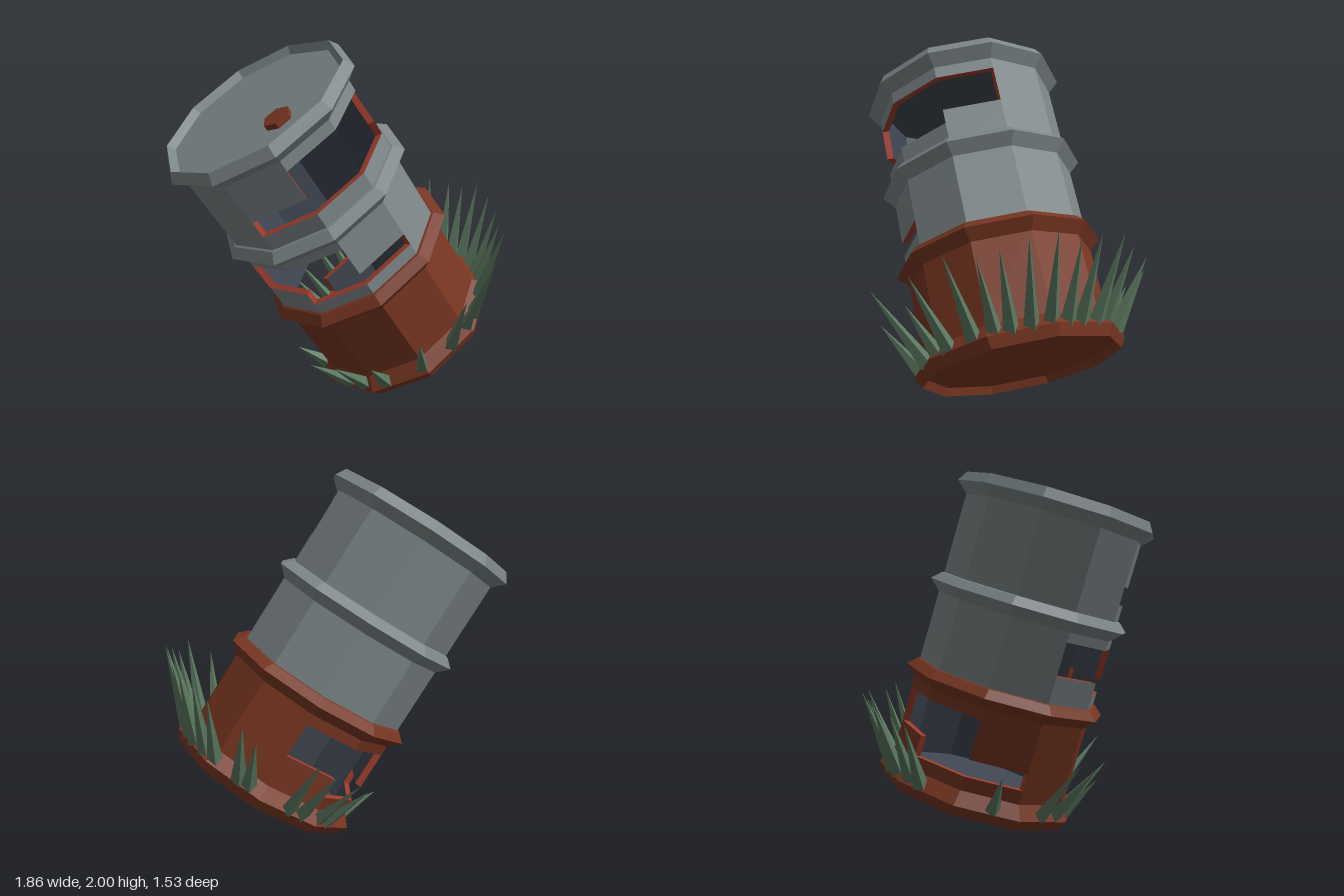
import * as THREE from 'three';

const SIDES = 10, STEP = (Math.PI * 2) / SIDES;
const R_OUT = 0.502, R_IN = 0.465, HEIGHT = 1.697;

function makeMaterial(name, color) {
  const m = new THREE.MeshStandardMaterial({ color });
  m.name = name;
  return m;
}

// Faceted normals
function flat(geometry) {
  const g = geometry.index ? geometry.toNonIndexed() : geometry;
  g.computeVertexNormals();
  return g;
}

// Ten-sided ring from a profile of [radius, height], corners on the x axis
function ring(profile) {
  const pts = profile.map(([r, h]) => new THREE.Vector2(r, h));
  return flat(new THREE.LatheGeometry(pts, SIDES, Math.PI / 2));
}

// Wall band with openings: holes maps a facet number to its open [from, to] heights.
// Groups: 0 outside, 1 inside, 2 cut edges.
function wallBand(h0, h1, holes) {
  const faces = [[], [], []];
  const at = (r, a, h) => [r * Math.cos(a), h, r * Math.sin(a)];
  const quad = (list, a, b, c, d) => list.push(...a, ...b, ...c, ...a, ...c, ...d);
  const block = (facet, lo, hi) => {
    const a = facet * STEP, b = a + STEP;
    const [oal, oah, obl, obh] = [at(R_OUT, a, lo), at(R_OUT, a, hi), at(R_OUT, b, lo), at(R_OUT, b, hi)];
    const [ial, iah, ibl, ibh] = [at(R_IN, a, lo), at(R_IN, a, hi), at(R_IN, b, lo), at(R_IN, b, hi)];
    quad(faces[0], obl, oal, oah, obh);
    quad(faces[1], ial, ibl, ibh, iah);
    quad(faces[2], obh, oah, iah, ibh);
    quad(faces[2], ibl, ial, oal, obl);
    quad(faces[2], ibl, obl, obh, ibh);
    quad(faces[2], oal, ial, iah, oah);
  };
  for (let f = 0; f < SIDES; f++) {
    if (holes[f]) {
      block(f, h0, holes[f][0]);
      block(f, holes[f][1], h1);
    } else block(f, h0, h1);
  }
  const g = new THREE.BufferGeometry();
  g.setAttribute('position', new THREE.Float32BufferAttribute(faces.flat(), 3));
  let start = 0;
  faces.forEach((list, i) => {
    g.addGroup(start, list.length / 3, i);
    start += list.length / 3;
  });
  g.computeVertexNormals();
  return g;
}

export function createModel() {
  const steel = makeMaterial('grey steel', 0x7d8688);
  const rust = makeMaterial('rust', 0x783622);
  const edge = makeMaterial('red torn edge', 0x9c3c2a);
  const inside = makeMaterial('dark interior', 0x3e4550);
  const green = makeMaterial('grass green', 0x5a775e);

  const model = new THREE.Group();
  model.name = 'tiltedBarrel';
  const barrel = new THREE.Group();
  barrel.name = 'barrel';
  barrel.position.set(0.45, 0.296, -0.013);
  barrel.rotation.z = THREE.MathUtils.degToRad(33.9);
  model.add(barrel);

  const add = (name, geometry, material) => {
    const mesh = new THREE.Mesh(geometry, material);
    mesh.name = name;
    barrel.add(mesh);
    return mesh;
  };

  // Walls with stepped openings
  add('lowerWall', wallBand(0.08, 0.61, { 5: [0.2, 0.29], 6: [0.2, 0.5], 7: [0.31, 0.5] }), [rust, inside, edge]);
  add('middleWall', wallBand(0.61, 1.1, { 2: [0.735, 0.81], 3: [0.735, 0.99], 4: [0.81, 0.99] }), [steel, inside, edge]);
  add('upperWall', wallBand(1.1, 1.62, { 0: [1.32, 1.52], 1: [1.24, 1.52], 2: [1.24, 1.52], 3: [1.24, 1.34] }), [steel, inside, edge]);

  // End caps with rims, and the two hoops
  add('bottomCap', ring([[0, 0.04], [0.5, 0.04], [0.53, 0], [0.563, 0.058], [0.5, 0.13]]), rust);
  add('topCap', ring([[0.5, HEIGHT - 0.115], [0.565, HEIGHT - 0.055], [0.53, HEIGHT], [0.5, HEIGHT - 0.04], [0, HEIGHT - 0.04]]), steel);
  const hoop = (y) => ring([[0.495, y - 0.065], [0.563, y], [0.515, y + 0.045], [0.495, y + 0.05]]);
  add('lowerHoop', hoop(0.617), rust);
  add('upperHoop', hoop(1.1), steel);

  // Inner faces of the two ends
  const floor = add('innerFloor', new THREE.CircleGeometry(0.48, SIDES), inside);
  floor.rotation.x = -Math.PI / 2;
  floor.position.y = 0.09;
  const ceiling = add('innerCeiling', new THREE.CircleGeometry(0.48, SIDES), inside);
  ceiling.rotation.x = Math.PI / 2;
  ceiling.position.y = 1.61;

  // Hexagonal bung on the lid
  const bung = add('bung', flat(new THREE.CylinderGeometry(0.076, 0.076, 0.04, 6).rotateY(Math.PI / 2)), rust);
  bung.position.set(0, HEIGHT - 0.03, 0.285);

  // Grass blades around the base: [angle in degrees, length factor]
  const blades = [
    [2, 1], [13, 0.95], [24, 0.9], [33, 0.85], [45, 1], [62, 0.95], [72, 0.7], [87, 1.1], [110, 0.85],
    [135, 0.7], [150, 0.95], [163, 1], [195, 0.6], [240, 0.9], [248, 0.95], [261, 1], [270, 1.05],
    [297, 0.8], [304, 0.9], [322, 0.9], [331, 1], [343, 0.95], [352, 0.9],
  ];
  const grass = new THREE.Group();
  grass.name = 'grass';
  barrel.add(grass);
  const up = new THREE.Vector3(0, 1, 0);
  for (const [deg, scale] of blades) {
    const a = THREE.MathUtils.degToRad(deg), c = Math.cos(a), s = Math.sin(a);
    const dir = new THREE.Vector3(0.24 * c + 0.1, 0.34, 0.24 * s).multiplyScalar(scale);
    const length = dir.length();
    const blade = new THREE.Mesh(flat(new THREE.ConeGeometry(0.043, length, 4).translate(0, length / 2, 0)), green);
    blade.name = 'grassBlade';
    blade.position.set(0.51 * c, 0.07, 0.51 * s);
    blade.quaternion.setFromUnitVectors(up, dir.normalize());
    grass.add(blade);
  }
  return model;
}
